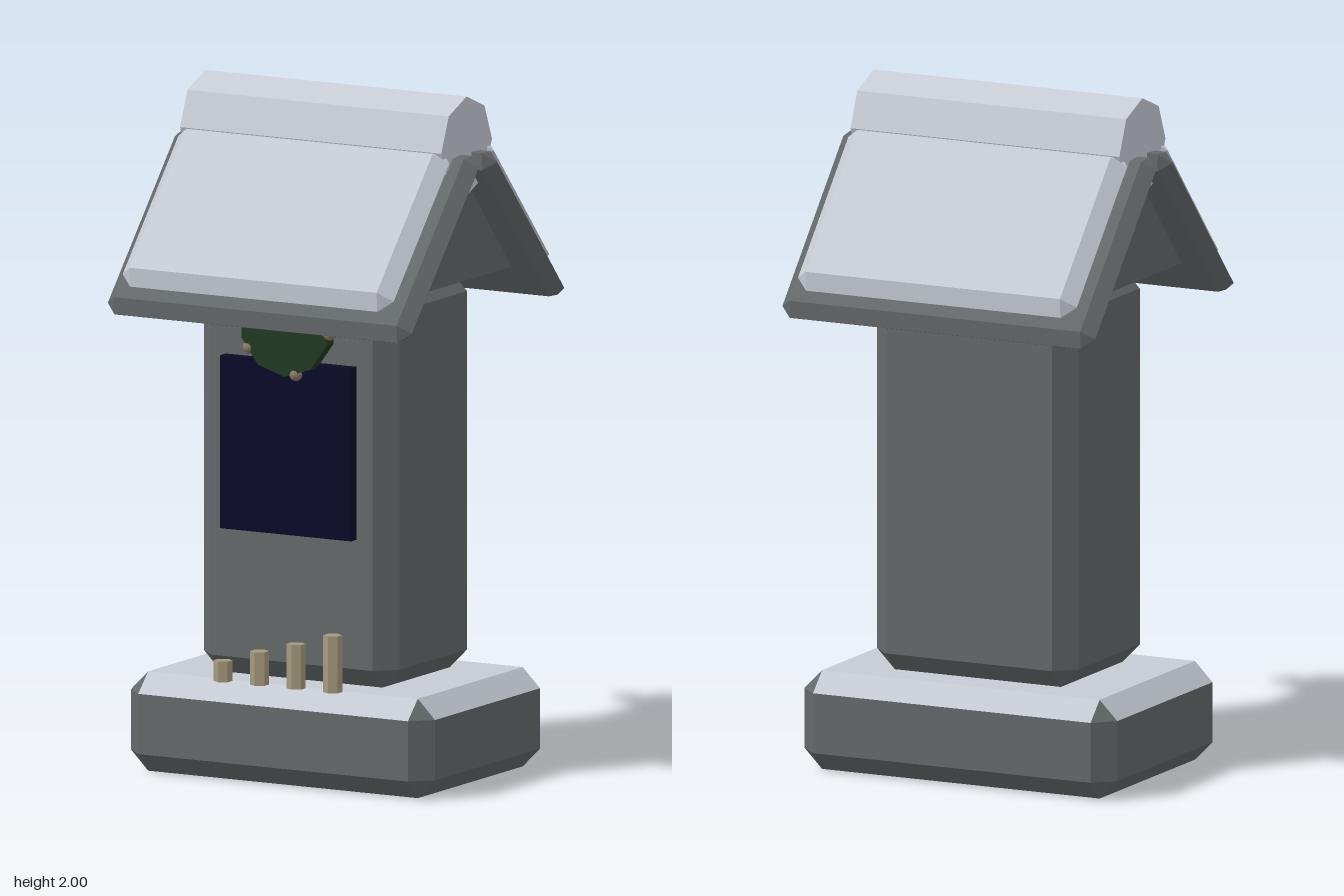
import * as THREE from 'three';
import { ConvexGeometry } from 'three/addons/geometries/ConvexGeometry.js';

function makeMaterial(name, color) {
  const m = new THREE.MeshStandardMaterial({ color });
  m.name = name;
  return m;
}

// Box with 45 degree chamfers on every edge
function chamferBox(w, h, d, b) {
  const points = [];
  for (const x of [-1, 1]) for (const y of [-1, 1]) for (const z of [-1, 1]) {
    const [X, Y, Z] = [w / 2, h / 2, d / 2];
    points.push(
      new THREE.Vector3(x * X, y * (Y - b), z * (Z - b)),
      new THREE.Vector3(x * (X - b), y * Y, z * (Z - b)),
      new THREE.Vector3(x * (X - b), y * (Y - b), z * Z));
  }
  return new ConvexGeometry(points);
}

// Second material on the faces that point upward
function splitTop(geometry, minY) {
  const n = geometry.attributes.normal;
  for (let i = 0; i < n.count; i += 3) geometry.addGroup(i, 3, n.getY(i) > minY ? 1 : 0);
  return geometry;
}

export function createModel() {
  const stone = makeMaterial('stone grey', 0x64696b);
  const snow = makeMaterial('snow grey', 0xc6cbd4);
  const navy = makeMaterial('dark navy', 0x0a0a29);
  const green = makeMaterial('wreath green', 0x213a22);
  const wax = makeMaterial('candle wax', 0xa59a7e);
  const berry = makeMaterial('bauble brown', 0x8a7a68);

  const model = new THREE.Group();
  model.name = 'stoneLantern';
  const add = (parent, name, geometry, material, x, y, z) => {
    const mesh = new THREE.Mesh(geometry, material);
    mesh.name = name;
    mesh.position.set(x, y, z);
    parent.add(mesh);
    return mesh;
  };

  // Plinth with a snowy top, and pillar
  add(model, 'plinth', splitTop(chamferBox(1.01, 0.29, 0.715, 0.057), 0.65), [stone, snow], 0, 0.145, 0);
  add(model, 'pillar', chamferBox(0.65, 1.16, 0.5, 0.057), stone, 0, 0.87, 0);
  add(model, 'frontPanel', new THREE.BoxGeometry(0.435, 0.505, 0.04), navy, -0.002, 0.978, 0.262);

  // Roof: gable prism, two snow-covered slabs, ridge cap
  const roof = new THREE.Group();
  roof.name = 'roof';
  roof.position.z = -0.003;
  model.add(roof);
  const triangle = new THREE.Shape([[-0.36, 1.45], [0.36, 1.45], [0, 1.82]].map(p => new THREE.Vector2(...p)));
  const gable = new THREE.ExtrudeGeometry(triangle, { depth: 0.79, bevelEnabled: false });
  gable.translate(0, 0, -0.395).rotateY(Math.PI / 2);
  add(roof, 'gable', gable, stone, 0, 0, 0);

  const pitch = THREE.MathUtils.degToRad(48);
  for (const [name, turn] of [['frontRoof', 0], ['backRoof', Math.PI]]) {
    const side = new THREE.Group();
    side.name = name;
    side.rotation.y = turn;
    roof.add(side);
    add(side, 'roofSlab', chamferBox(1.01, 0.072, 0.645, 0.0355), stone, 0, 1.594, 0.244).rotation.x = pitch;
    add(side, 'roofSnow', chamferBox(0.9, 0.08, 0.555, 0.0395), snow, 0, 1.648, 0.286).rotation.x = pitch;
  }
  const ridge = new THREE.CylinderGeometry(0.145, 0.145, 0.868, 8).toNonIndexed();
  ridge.rotateZ(Math.PI / 2);
  ridge.computeVertexNormals();
  add(roof, 'ridgeCap', ridge, snow, 0, 1.855, 0);

  // Wreath under the eaves with baubles around its rim
  const wreath = new THREE.Group();
  wreath.name = 'wreath';
  wreath.position.set(0.01, 1.34, 0.292);
  model.add(wreath);
  const leaf = new THREE.CylinderGeometry(0.148, 0.148, 0.04, 10).toNonIndexed();
  leaf.rotateX(Math.PI / 2);
  leaf.computeVertexNormals();
  add(wreath, 'foliage', leaf, green, 0, 0, 0);
  for (let i = 0; i < 5; i++) {
    const a = THREE.MathUtils.degToRad(-5 + i * 72);
    add(wreath, 'bauble', new THREE.IcosahedronGeometry(0.019, 1), berry,
      0.144 * Math.cos(a), 0.144 * Math.sin(a), 0.008);
  }

  // Row of candles of rising height
  [0.06, 0.098, 0.13, 0.166].forEach((h, i) => {
    const candle = new THREE.CylinderGeometry(0.0275, 0.0275, h, 6).toNonIndexed();
    candle.computeVertexNormals();
    add(model, 'candle', candle, wax, -0.184 + i * 0.1215, 0.29 + h / 2, 0.327);
  });

  return model;
}
